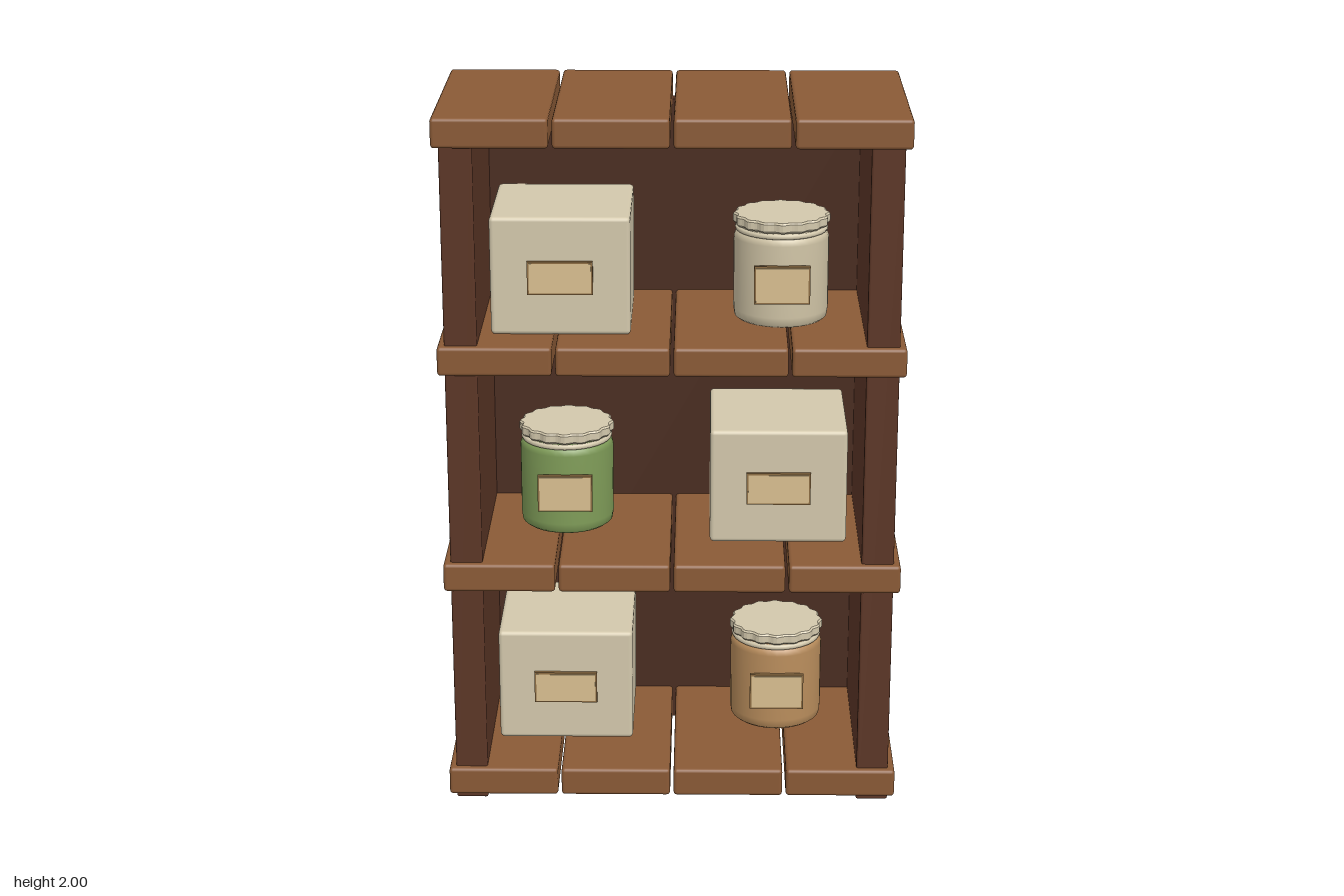
import * as THREE from 'three';
import { RoundedBoxGeometry } from 'three/addons/geometries/RoundedBoxGeometry.js';

const mat = (color, double) => new THREE.MeshStandardMaterial({ color, side: double ? THREE.DoubleSide : THREE.FrontSide });
const plankWood = mat(0x8a5a36), sideWood = mat(0x5c3626), backWood = mat(0x4a2c20);
const cream = mat(0xd3c8ac), paper = mat(0xd9bf90), trim = mat(0x8c6c42);

function add(parent, name, geometry, material, x = 0, y = 0, z = 0) {
  const mesh = new THREE.Mesh(geometry, material);
  mesh.name = name;
  mesh.position.set(x, y, z);
  parent.add(mesh);
  return mesh;
}

// Block with softened edges, given by its size and the height of its base
function block(parent, name, [w, h, d], material, x, base, z, r = 0.01) {
  return add(parent, name, new RoundedBoxGeometry(w, h, d, 2, r), material, x, base + h / 2, z);
}

// Paper tag on a thin darker backing
function label(parent, w, h, y, z) {
  add(parent, 'labelBacking', new THREE.BoxGeometry(w, h, 0.012), trim, 0, y, z);
  add(parent, 'labelPaper', new THREE.BoxGeometry(w - 0.01, h - 0.01, 0.012), paper, 0, y, z + 0.003);
}

function storageBox(x, y) {
  const g = new THREE.Group();
  g.name = 'storageBox';
  g.position.set(x, y, 0);
  block(g, 'boxBody', [0.385, 0.333, 0.385], cream, 0, 0, 0.003, 0.012);
  label(g, 0.18, 0.093, 0.165, 0.2);
  return g;
}

// Lid disc with a wavy rim
function lidGeometry() {
  const pts = [];
  for (let i = 0; i < 96; i++) {
    const a = i / 96 * Math.PI * 2;
    const r = 0.127 + 0.004 * Math.cos(a * 16);
    pts.push(new THREE.Vector2(Math.cos(a) * r, Math.sin(a) * r));
  }
  const geo = new THREE.ExtrudeGeometry(new THREE.Shape(pts), {
    depth: 0.02, bevelEnabled: true, bevelSize: 0.004, bevelThickness: 0.005, bevelSegments: 1,
  });
  return geo.rotateX(-Math.PI / 2);
}

function jar(x, y, color) {
  const g = new THREE.Group();
  g.name = 'jar';
  g.position.set(x, y, 0);
  const profile = [[0, 0], [0.12, 0], [0.13, 0.008], [0.133, 0.03], [0.133, 0.235], [0.127, 0.25],
    [0.118, 0.255], [0.118, 0.275], [0, 0.275]].map(p => new THREE.Vector2(...p));
  add(g, 'jarBody', new THREE.LatheGeometry(profile, 32), mat(color, true));
  add(g, 'jarCollar', new THREE.TorusGeometry(0.122, 0.008, 8, 32).rotateX(Math.PI / 2), cream, 0, 0.26, 0);
  add(g, 'jarLid', lidGeometry(), cream, 0, 0.276, 0);
  label(g, 0.155, 0.108, 0.128, 0.136);
  return g;
}

export function createModel() {
  const model = new THREE.Group();
  model.name = 'shelfUnit';

  // Four shelves of four planks each
  for (const base of [0.018, 0.65, 1.285, 1.918]) {
    const shelf = new THREE.Group();
    shelf.name = 'shelf';
    for (let i = 0; i < 4; i++) {
      block(shelf, 'plank', [0.312, 0.082, 0.638], plankWood, (i - 1.5) * 0.322, base, 0);
    }
    model.add(shelf);
  }

  // Side walls and recessed back panel
  for (const s of [-1, 1]) block(model, 'sideWall', [0.09, 1.93, 0.6], sideWood, s * 0.575, 0, 0, 0.006);
  add(model, 'backPanel', new THREE.BoxGeometry(1.08, 1.93, 0.045), backWood, 0, 0.965, -0.27);

  // Goods on the three levels
  model.add(
    storageBox(-0.307, 1.366), jar(0.302, 1.366, 0xcfc3a5),
    jar(-0.305, 0.75, 0x7f9c58), storageBox(0.298, 0.754),
    storageBox(-0.307, 0.14), jar(0.302, 0.137, 0xb98d5c),
  );
  return model;
}
